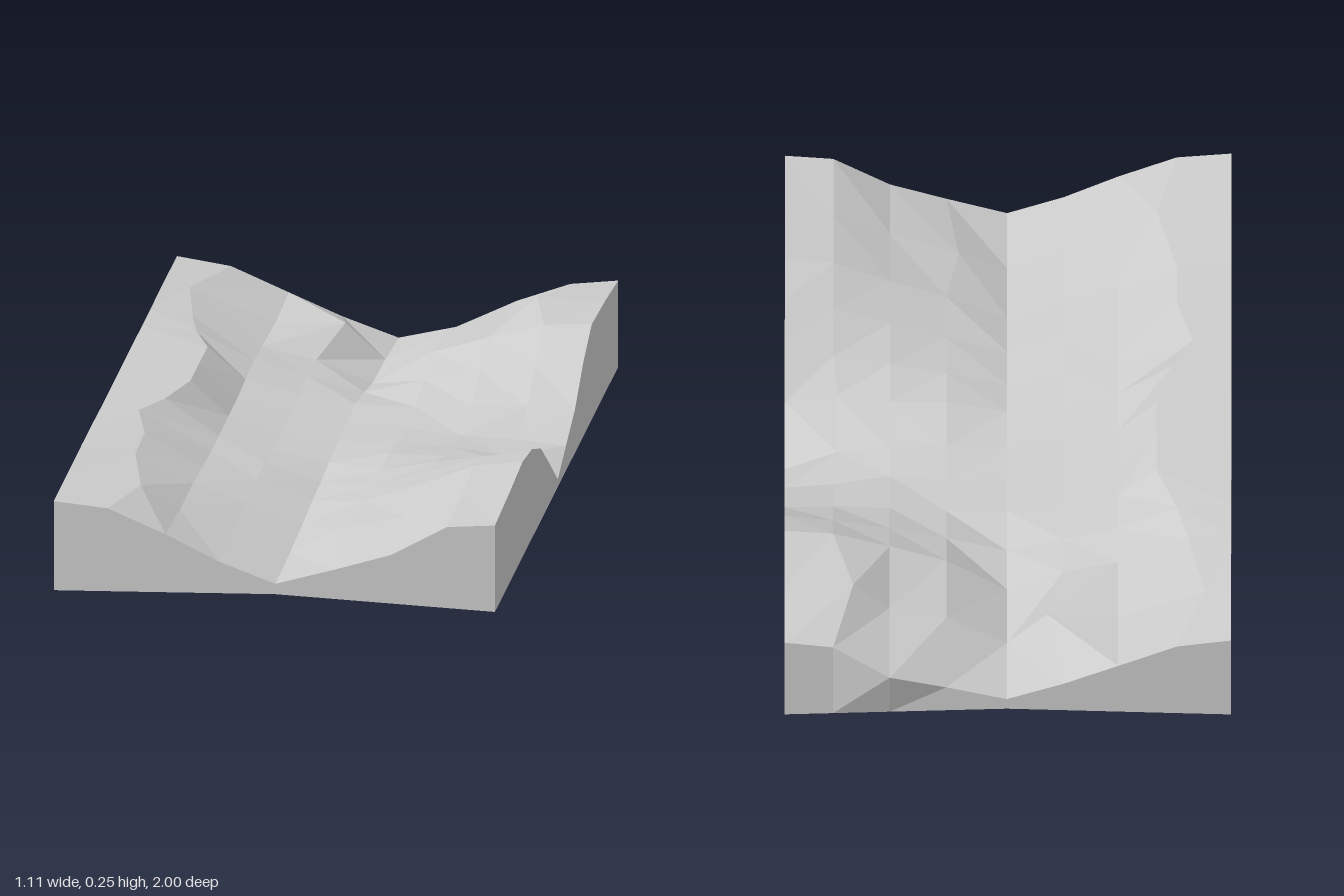
import * as THREE from 'three';

// Grid lines of the relief: columns run left to right, rows front to back
const xs = [-0.555, -0.42, -0.275, -0.14, 0, 0.15, 0.29, 0.43, 0.55];
const zs = [1, 0.77, 0.56, 0.41, 0.27, 0.15, 0, -0.13, -0.27, -0.41, -0.54, -0.75, -0.96];

// Cross-section of the valley at each row, in hundredths
const sections = [
  [23.2, 22, 16, 9.5, 4.5, 9, 13.5, 21.5, 22.5],
  [23.3, 21.5, 15, 10, 5, 11.5, 16, 22.3, 23.5],
  [23.4, 22, 15, 10.5, 6, 12.5, 17.5, 23.2, 24.8],
  [23.4, 22.5, 14.5, 11.5, 7, 11.5, 16, 20.5, 23.2],
  [23.2, 23, 14, 11.5, 7.5, 11.2, 14, 16.5, 18.8],
  [23.2, 23, 14, 11, 8.5, 11.5, 11.5, 12, 11.5],
  [23.2, 23, 14.2, 11, 9, 9.5, 9, 7.5, 2],
  [23.2, 23, 14.2, 11.5, 9.5, 9, 8.5, 7.5, 6.5],
  [23.2, 23, 15, 12, 10, 10, 11, 11.5, 11.2],
  [23.2, 22.3, 15.5, 12, 8.5, 12.5, 15.5, 18, 19.5],
  [23.2, 22, 15, 12, 6.5, 15.5, 20, 24, 24.8],
  [23.4, 22.3, 14.2, 15, 6, 14, 17, 24.3, 24],
  [23.2, 21.3, 15.2, 9.6, 4.8, 8.5, 14.6, 21, 22.5],
];

// Points pushed off the grid: row, column, shift in x, shift in z
const shifts = [
  [4, 1, -0.04, -0.02], [5, 1, 0.01, 0], [6, 1, 0.05, 0], [7, 1, 0.05, 0], [8, 1, 0.05, 0],
  [1, 1, 0.05, 0.02], [1, 5, -0.03, -0.02], [11, 1, -0.07, 0], [10, 1, -0.03, 0],
  [5, 7, -0.01, 0.02], [6, 7, -0.01, 0],
  [11, 3, 0.04, 0], [11, 7, -0.05, 0], [7, 6, 0, 0.02], [12, 6, 0, -0.04],
];

function createBlock() {
  const cols = xs.length - 1;
  const rows = zs.length - 1;
  const top = sections.map((row, r) => row.map((h, c) => [xs[c], h / 100, zs[r]]));
  for (const [r, c, dx, dz] of shifts) {
    top[r][c][0] += dx;
    top[r][c][2] += dz;
  }
  // Underside is slightly arched along the middle
  const base = (r, c) => [xs[c], 0.018 * (1 - Math.min(1, Math.abs(xs[c]) / 0.55)), zs[r]];

  // Each cell is split along its more level diagonal
  const positions = [];
  const quad = (a, b, c, d) => {
    if (Math.abs(a[1] - c[1]) <= Math.abs(b[1] - d[1])) positions.push(...a, ...b, ...c, ...a, ...c, ...d);
    else positions.push(...b, ...c, ...d, ...b, ...d, ...a);
  };

  // Relief surface and underside
  for (let r = 0; r < rows; r++) {
    for (let c = 0; c < cols; c++) {
      quad(top[r][c], top[r][c + 1], top[r + 1][c + 1], top[r + 1][c]);
      quad(base(r, c), base(r + 1, c), base(r + 1, c + 1), base(r, c + 1));
    }
  }
  // Upright walls, front and back
  for (let c = 0; c < cols; c++) {
    quad(base(0, c), base(0, c + 1), top[0][c + 1], top[0][c]);
    quad(base(rows, c + 1), base(rows, c), top[rows][c], top[rows][c + 1]);
  }
  // Upright walls, both long sides
  for (let r = 0; r < rows; r++) {
    quad(base(r + 1, 0), base(r, 0), top[r][0], top[r + 1][0]);
    quad(base(r, cols), base(r + 1, cols), top[r + 1][cols], top[r][cols]);
  }

  const geometry = new THREE.BufferGeometry();
  geometry.setAttribute('position', new THREE.Float32BufferAttribute(positions, 3));
  geometry.computeVertexNormals();
  return geometry;
}

export function createModel() {
  const group = new THREE.Group();
  group.name = 'valleyTerrain';
  const material = new THREE.MeshStandardMaterial({ color: 0xcccccc, flatShading: true });
  const block = new THREE.Mesh(createBlock(), material);
  block.name = 'terrainBlock';
  group.add(block);
  return group;
}
